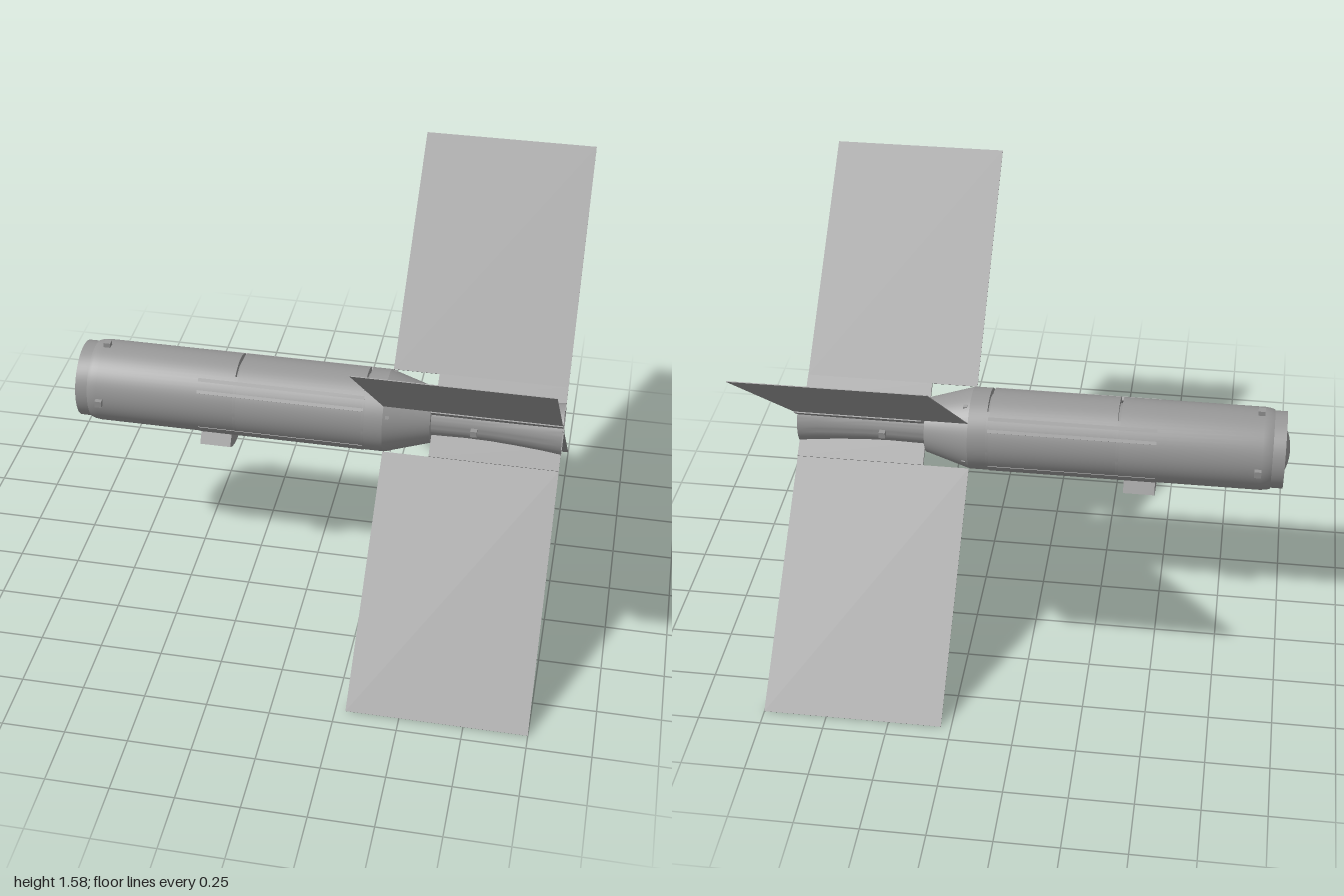
import * as THREE from 'three';
import { toCreasedNormals } from 'three/addons/utils/BufferGeometryUtils.js';

const AXIS_Y = 0.787; // height of the body axis
const R = 0.168;      // main body radius
const FIN = THREE.MathUtils.degToRad(49.9); // fin angle from vertical

export function createModel() {
  const model = new THREE.Group();
  model.name = 'wingedCylinder';
  const grey = new THREE.MeshStandardMaterial({ color: 0x999999 });
  grey.name = 'grey';

  const add = (name, geometry) => {
    const mesh = new THREE.Mesh(geometry, grey);
    mesh.name = name;
    mesh.position.y = AXIS_Y;
    model.add(mesh);
    return mesh;
  };
  // Turned part along x; profile points are [x, radius]
  const turned = (profile, start = 0, sweep = Math.PI * 2) => {
    const pts = profile.map(([x, r]) => new THREE.Vector2(r, x));
    const g = new THREE.LatheGeometry(pts, 64, start, sweep).rotateZ(-Math.PI / 2);
    return toCreasedNormals(g, 0.25);
  };
  // Box from x0 to x1 and from radius r0 to r1, turned around the axis
  const radialBox = (name, x0, x1, r0, r1, width, angle) =>
    add(name, new THREE.BoxGeometry(x1 - x0, r1 - r0, width)
      .translate((x0 + x1) / 2, (r0 + r1) / 2, 0).rotateX(angle));

  // Domed nose recessed in its rim
  const dome = [];
  for (let i = 0; i <= 8; i++) {
    const r = 0.145 * i / 8;
    dome.push([-1 + 0.21 - Math.sqrt(0.21 ** 2 - r * r), r]);
  }
  add('noseDome', turned(dome));
  add('noseRim', turned([[-0.94, 0.145], [-0.98, 0.149], [-0.98, 0.156], [-0.93, 0.156]]));

  // Main body with two grooves, ending in a tapered shoulder
  const slots = [[-0.321, -0.309], [0.205, 0.216]];
  const body = [[-0.93, 0.15], [-0.93, 0.16], [-0.915, 0.165], [-0.89, R]];
  for (const [a, b] of slots) body.push([a, R], [a, 0.143], [b, 0.143], [b, R]);
  body.push([0.29, R], [0.475, 0.112], [0.475, 0.07]);
  add('body', turned(body));

  // Fill the grooves everywhere except over the top
  for (const [a, b] of slots) {
    add('bodyBand', turned([[a, R], [b, R]], Math.PI * 1.5 + 0.55, Math.PI * 2 - 1.1));
  }

  // Hollow flared tail
  add('tailTube', turned([
    [0.47, 0.084], [0.62, 0.081], [0.72, 0.083], [0.82, 0.089], [0.92, 0.097], [1, 0.106],
    [1, 0.103], [0.92, 0.094], [0.82, 0.085], [0.72, 0.071], [0.7, 0.07], [0.7, 0],
  ]));

  // Four wings with thicker root strips, and flat body panels in line with them
  for (const angle of [FIN, -FIN, Math.PI - FIN, Math.PI + FIN]) {
    radialBox('wing', 0.29, 1, 0.174, 1.2215, 0.003, angle);
    radialBox('wingRoot', 0.478, 1, 0.075, 0.174, 0.012, angle);
    radialBox('sidePanel', -0.47, 0.21, 0.15, 0.167, 0.063, angle);
  }

  // Lugs around the nose and tail, small studs on the shoulder
  for (let i = 0; i < 4; i++) {
    const angle = i * Math.PI / 2;
    radialBox('noseLug', -0.89, -0.862, 0.15, 0.187, 0.028, angle);
    radialBox('tailLug', 0.637, 0.663, 0.07, 0.104, 0.026, angle);
    radialBox('shoulderStud', 0.3, 0.316, 0.15, 0.167, 0.014, angle - 0.43);
  }

  // Curved shoe under the body
  const shoe = new THREE.Shape();
  const mid = -Math.PI / 2, half = 0.63;
  shoe.absarc(0, 0, 0.222, mid - half, mid + half, false);
  shoe.absarc(0, 0, 0.162, mid + half, mid - half, true);
  shoe.closePath();
  const shoeGeometry = new THREE.ExtrudeGeometry(shoe, { depth: 0.127, bevelEnabled: false, curveSegments: 20 })
    .rotateY(Math.PI / 2).translate(-0.468, 0, 0);
  add('bellyShoe', toCreasedNormals(shoeGeometry, 0.4));

  return model;
}
